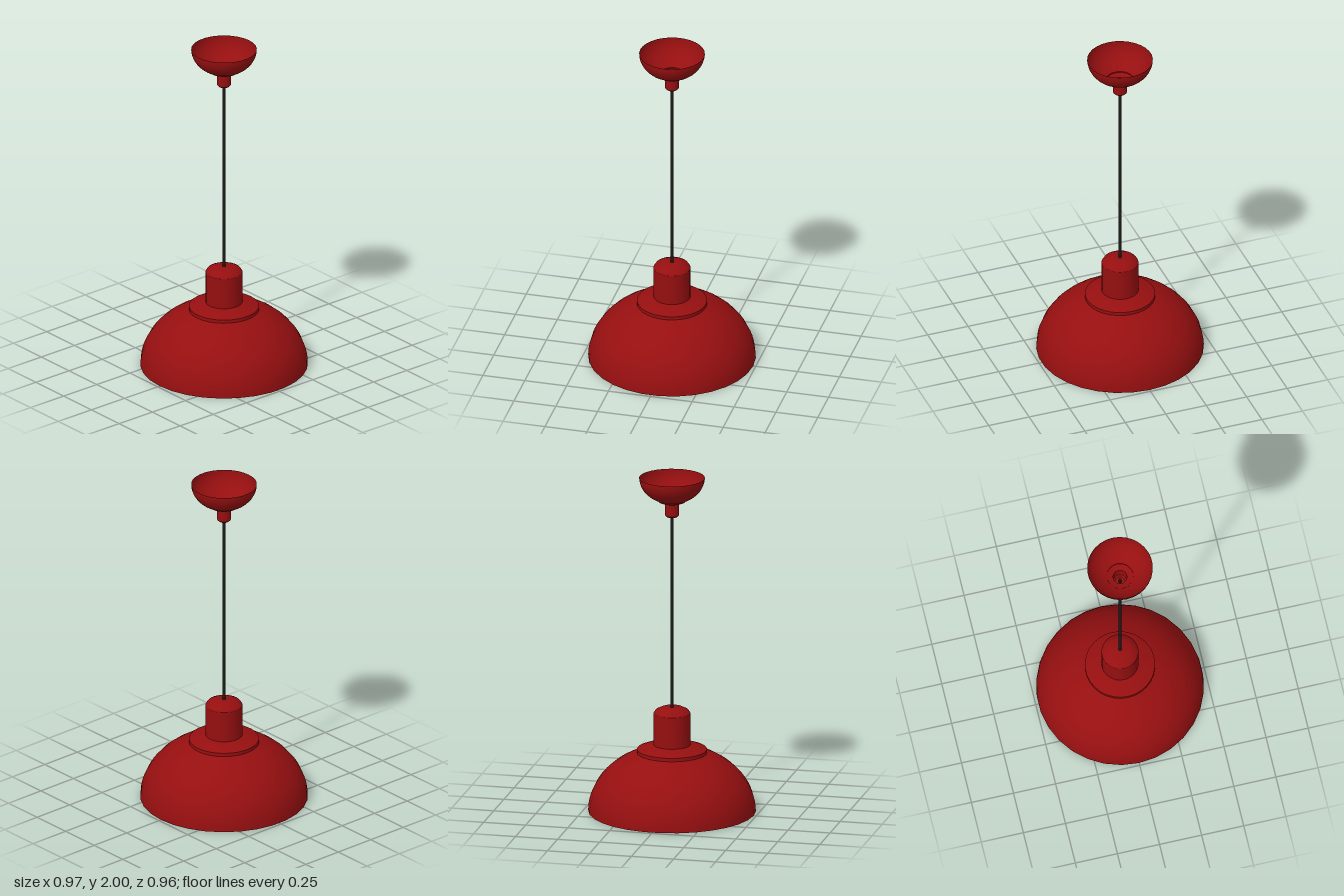
import * as THREE from 'three';
import { toCreasedNormals } from 'three/addons/utils/BufferGeometryUtils.js';

const red = new THREE.MeshStandardMaterial({ color: 0x960f10, side: THREE.DoubleSide });
const black = new THREE.MeshStandardMaterial({ color: 0x1a1a1a });
const grey = new THREE.MeshStandardMaterial({ color: 0xcccccc });

// Turned part from [radius, height] pairs, listed bottom to top
function turned(name, profile, material) {
  const points = profile.map(([r, y]) => new THREE.Vector2(r, y));
  const geometry = new THREE.LatheGeometry(points, 30, Math.PI / 2);
  const mesh = new THREE.Mesh(toCreasedNormals(geometry, 0.55), material);
  mesh.name = name;
  return mesh;
}

// Points on an elliptical arc, angles in radians from the rim
function arc(rx, ry, y0, from, to, steps) {
  return Array.from({ length: steps + 1 }, (_, i) => {
    const a = from + (to - from) * i / steps;
    return [rx * Math.cos(a), y0 + ry * Math.sin(a)];
  });
}

export function createModel() {
  const lamp = new THREE.Group();
  lamp.name = 'pendantLamp';

  // Open dome with a thin inner wall
  const top = Math.acos(0.2 / 0.485);
  lamp.add(turned('shade', arc(0.485, 0.385, 0, 0, top, 14), red));

  // Stepped collar over the dome
  lamp.add(turned('shadeCollar', [[0.19, 0.347], [0.203, 0.347], [0.203, 0.37], [0.16, 0.386], [0.105, 0.398]], red));

  // Socket housing with a chamfered top
  lamp.add(turned('socketHousing', [[0, 0.38], [0.107, 0.38], [0.107, 0.585], [0.095, 0.603], [0.06, 0.62], [0, 0.62]], red));

  // Bulb and its neck
  const bulb = new THREE.Mesh(new THREE.SphereGeometry(0.09, 32, 20), grey);
  bulb.name = 'bulb';
  bulb.position.y = 0.165;
  lamp.add(bulb);
  lamp.add(turned('bulbNeck', [[0.06, 0.23], [0.042, 0.26], [0.038, 0.29], [0.038, 0.39]], grey));

  // Cable between housing and canopy
  const cable = new THREE.Mesh(new THREE.CylinderGeometry(0.008, 0.008, 1.2, 12), black);
  cable.name = 'cable';
  cable.position.y = 1.2;
  lamp.add(cable);

  // Ceiling canopy, an open bowl
  const base = -Math.acos(0.077 / 0.19);
  lamp.add(turned('canopy', arc(0.19, 0.15, 2, base, 0, 12), red));

  // Canopy flange and cable grip
  lamp.add(turned('cableGrip', [
    [0, 1.765], [0.03, 1.765], [0.04, 1.775], [0.04, 1.848],
    [0.065, 1.852], [0.077, 1.857], [0.077, 1.864]
  ], red));

  return lamp;
}
